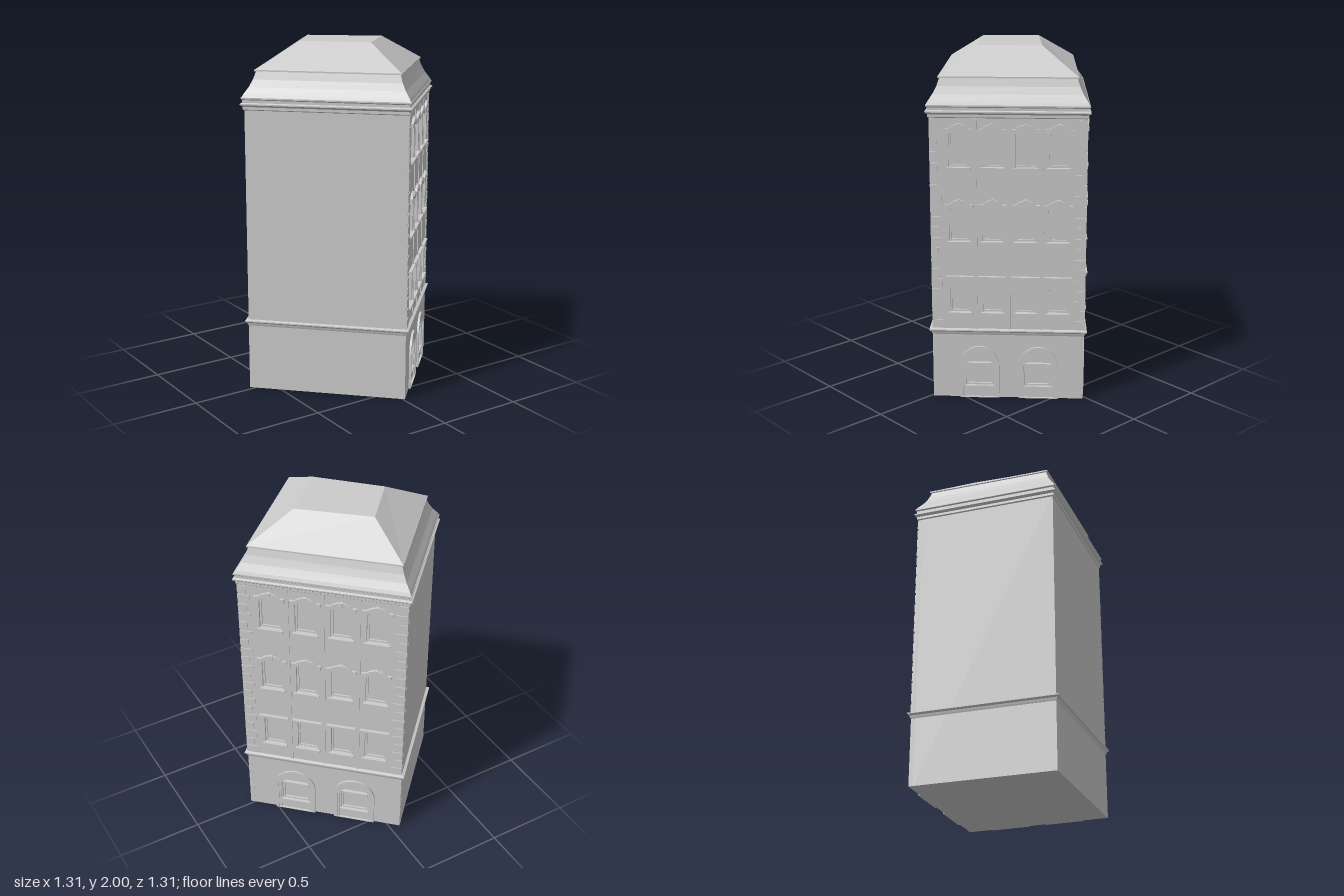
import * as THREE from 'three';

const grey = new THREE.MeshStandardMaterial({ color: 0xcccccc });
const RECESS = 0.025;   // depth of the window openings
const WIDTH = 0.9;      // design width of a facade, stretched to fit its side

// Plan corners [x, z] and the direction in which each one steps out
const PLAN = [[0.012, 0.625], [0.625, 0.02], [-0.06, -0.625], [-0.632, -0.025]];
const AXES = [[0, 1], [1, 0], [0, -1], [-1, 0]];
const ring = d => PLAN.map(([x, z], i) => [x + d * AXES[i][0], z + d * AXES[i][1]]);

function add(parent, name, geometry, x = 0, y = 0, z = 0) {
  const mesh = new THREE.Mesh(geometry, grey);
  mesh.name = name;
  mesh.position.set(x, y, z);
  parent.add(mesh);
  return mesh;
}

function box(parent, name, x, y, z, w, h, d) {
  return add(parent, name, new THREE.BoxGeometry(w, h, d), x, y, z);
}

// Closed solid through four-cornered levels: { y, pts }
function loft(levels) {
  const pos = [];
  const put = (l, i) => pos.push(l.pts[i % 4][0], l.y, l.pts[i % 4][1]);
  for (let j = 0; j < levels.length - 1; j++) {
    const lo = levels[j], hi = levels[j + 1];
    for (let i = 0; i < 4; i++) {
      put(lo, i); put(lo, i + 1); put(hi, i + 1);
      put(lo, i); put(hi, i + 1); put(hi, i);
    }
  }
  const bottom = levels[0], top = levels[levels.length - 1];
  [0, 1, 2, 0, 2, 3].forEach(i => put(top, i));
  [0, 2, 1, 0, 3, 2].forEach(i => put(bottom, i));
  const g = new THREE.BufferGeometry();
  g.setAttribute('position', new THREE.Float32BufferAttribute(pos, 3));
  g.computeVertexNormals();
  return g;
}

const profileLoft = profile => loft(profile.map(([d, y]) => ({ y, pts: ring(d) })));

// Round-headed outline
function archPath(P, cx, half, bottom, spring) {
  const p = new P();
  p.moveTo(cx - half, bottom);
  p.lineTo(cx + half, bottom);
  p.lineTo(cx + half, spring);
  p.absarc(cx, spring, half, 0, Math.PI, false);
  p.closePath();
  return p;
}

// Window outline with a flat or gently raised head
function windowPath(P, cx, half, bottom, top, rise) {
  const p = new P();
  p.moveTo(cx - half, bottom);
  p.lineTo(cx + half, bottom);
  p.lineTo(cx + half, top);
  if (rise) p.quadraticCurveTo(cx, top + 2 * rise, cx - half, top);
  else p.lineTo(cx - half, top);
  p.closePath();
  return p;
}

// Eyebrow lintel: flat ends and a raised middle
function browShape(h) {
  const s = new THREE.Shape();
  s.moveTo(-0.082, 0);
  s.lineTo(-0.055, 0);
  s.quadraticCurveTo(0, 0.052, 0.055, 0);
  s.lineTo(0.082, 0);
  s.lineTo(0.082, h);
  s.lineTo(0.06, h);
  s.quadraticCurveTo(0, 0.052 + h, -0.06, h);
  s.lineTo(-0.082, h);
  s.closePath();
  return s;
}

const extrude = (shape, depth) =>
  new THREE.ExtrudeGeometry(shape, { depth, bevelEnabled: false, curveSegments: 10 });

const COLUMNS = [0.168, 0.36, 0.552, 0.743];
const FLOORS = [
  { bottom: 0.52, top: 0.72, rise: 0 },
  { bottom: 0.94, top: 1.135, rise: 0.024 },
  { bottom: 1.365, top: 1.56, rise: 0.024 },
];
const ARCHES = [0.279, 0.63];

function addWindow(parent, cx, { bottom, top, rise }) {
  const w = new THREE.Group();
  w.name = 'window';
  parent.add(w);
  const frame = windowPath(THREE.Shape, cx, 0.058, bottom, top, rise);
  frame.holes.push(windowPath(THREE.Path, cx, 0.048, bottom + 0.01, top - 0.01, rise));
  add(w, 'windowFrame', extrude(frame, 0.01), 0, 0, -RECESS);
  box(w, 'windowSill', cx, bottom - 0.005, 0.002, 0.14, 0.012, 0.026);
  if (rise) {
    add(w, 'archedLintel', extrude(browShape(0.024), 0.014), cx, top - 0.003, 0);
    box(w, 'keystone', cx, top + 0.037, 0.009, 0.02, 0.028, 0.018);
  } else {
    box(w, 'lintel', cx, top + 0.006, 0.006, 0.158, 0.014, 0.014);
    box(w, 'lintelCap', cx, top + 0.015, 0.009, 0.166, 0.006, 0.02);
  }
}

function addGroundArch(parent, cx) {
  const a = new THREE.Group();
  a.name = 'groundArch';
  parent.add(a);
  // Stepped surround around the opening
  [[0.118, 0.1, 0.012], [0.1, 0.086, 0.006]].forEach(([outer, inner, depth]) => {
    const s = archPath(THREE.Shape, cx, outer, 0, 0.197);
    s.holes.push(archPath(THREE.Path, cx, inner, 0.004, 0.197));
    add(a, 'archSurround', extrude(s, depth));
  });
  // Glazing frame, transom and sill
  const f = archPath(THREE.Shape, cx, 0.08, 0.07, 0.197);
  f.holes.push(archPath(THREE.Path, cx, 0.07, 0.08, 0.197));
  add(a, 'archFrame', extrude(f, 0.012), 0, 0, -RECESS);
  box(a, 'transom', cx, 0.2, -0.014, 0.155, 0.016, 0.02);
  box(a, 'archSill', cx, 0.066, 0, 0.17, 0.012, 0.016);
}

// Windowed side; local x runs along the wall and z points outwards
function buildFacade([ax, az], [bx, bz]) {
  const g = new THREE.Group();
  g.name = 'facade';
  g.position.set(ax, 0, az);
  g.rotation.y = Math.atan2(az - bz, bx - ax);
  g.scale.x = Math.hypot(bx - ax, bz - az) / WIDTH;

  const wall = windowPath(THREE.Shape, WIDTH / 2, WIDTH / 2, 0, 1.65, 0);
  for (const cx of COLUMNS) {
    for (const f of FLOORS) {
      wall.holes.push(windowPath(THREE.Path, cx, 0.058, f.bottom, f.top, f.rise));
      addWindow(g, cx, f);
    }
  }
  for (const cx of ARCHES) {
    wall.holes.push(archPath(THREE.Path, cx, 0.08, 0.07, 0.197));
    addGroundArch(g, cx);
  }
  add(g, 'facadeWall', extrude(wall, RECESS), 0, 0, -RECESS);

  // Slim strips between the window columns
  for (let i = 0; i < 3; i++) {
    box(g, 'wallStrip', (COLUMNS[i] + COLUMNS[i + 1]) / 2, 1.03, 0.001, 0.014, 1.22, 0.008);
  }
  // Corner stones of alternating length
  for (let i = 0; i < 20; i++) {
    const w = i % 2 ? 0.045 : 0.065;
    for (const x of [w / 2, WIDTH - w / 2]) {
      box(g, 'cornerStone', x, 0.45 + i * 0.061, 0.001, w, 0.05, 0.007);
    }
  }
  return g;
}

export function createModel() {
  const model = new THREE.Group();
  model.name = 'cornerBuilding';

  // Core, set back behind the two windowed sides
  const r = RECESS * 0.707;
  const shift = [[-r, -r], [-2 * r, 0], [-r, r], [0, 0]];
  const core = PLAN.map(([x, z], i) => [x + shift[i][0], z + shift[i][1]]);
  add(model, 'core', loft([{ y: 0, pts: core }, { y: 1.65, pts: core }]));

  model.add(buildFacade(PLAN[0], PLAN[1]), buildFacade(PLAN[1], PLAN[2]));

  add(model, 'beltCornice', profileLoft([
    [0.002, 0.385], [0.006, 0.392], [0.01, 0.402], [0.024, 0.411], [0.024, 0.417], [0.002, 0.422]]));
  add(model, 'topCornice', profileLoft([
    [0.002, 1.64], [0.01, 1.645], [0.01, 1.66], [0.028, 1.671], [0.028, 1.678],
    [0.012, 1.683], [0.012, 1.698], [0.022, 1.704], [0.022, 1.712]]));
  add(model, 'lowerRoof', profileLoft([
    [0.018, 1.712], [0.006, 1.728], [-0.03, 1.766], [-0.058, 1.806], [-0.08, 1.852]]));
  add(model, 'roofLedge', profileLoft([[-0.066, 1.85], [-0.066, 1.858]]));
  add(model, 'upperRoof', profileLoft([[-0.068, 1.858], [-0.355, 2]]));
  return model;
}
